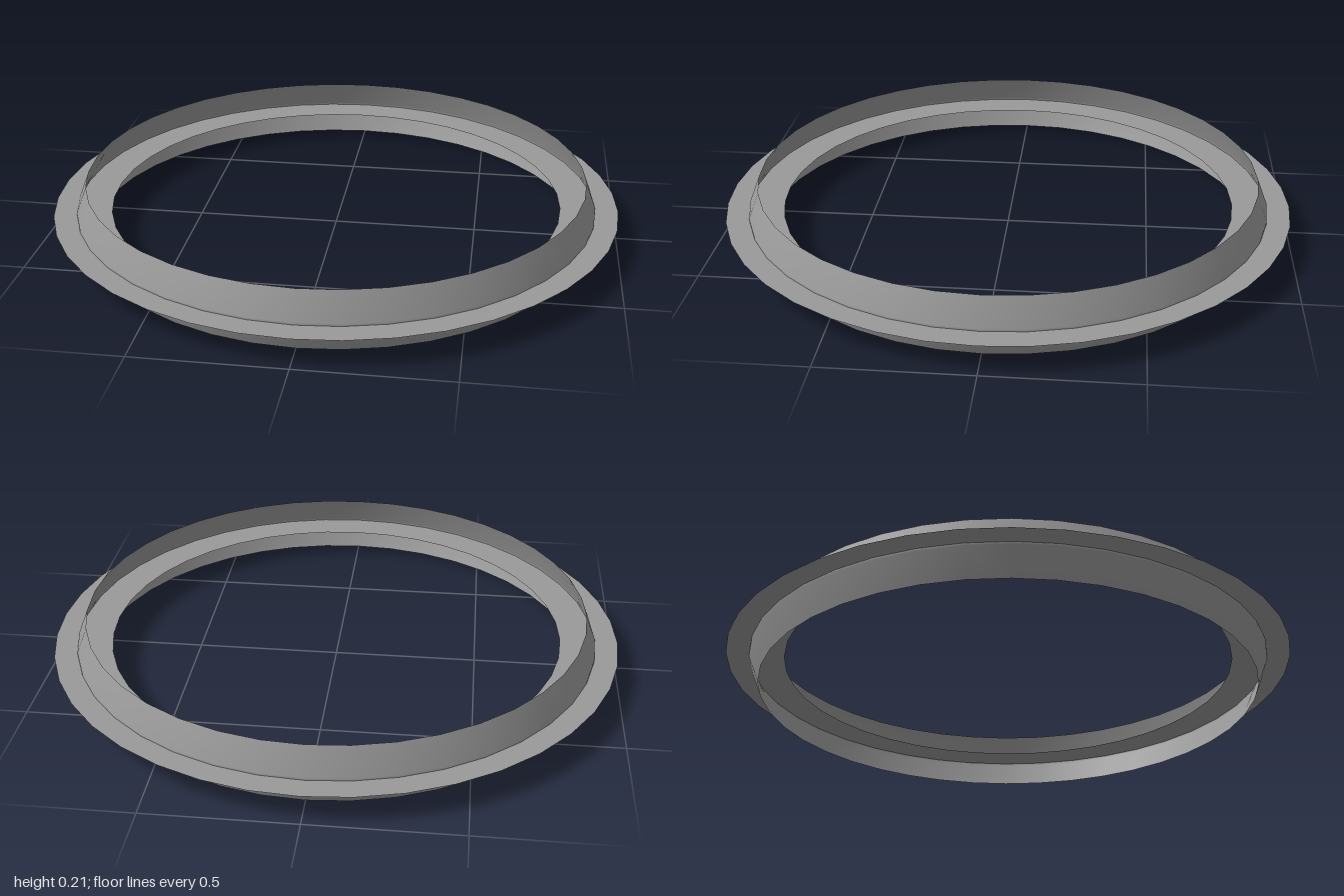
import * as THREE from 'three';

const SEGMENTS = 40;
const HEIGHT = 0.207;
const MID = HEIGHT / 2;
const RIM_RADIUS = 0.882;
const RIDGE_RADIUS = 0.92;
const RIDGE_HALF = 0.008;

export function createModel() {
  const group = new THREE.Group();
  group.name = 'ring';
  const material = new THREE.MeshStandardMaterial({ color: 0x9a9a9a, side: THREE.DoubleSide });

  const add = (name, geometry) => {
    const mesh = new THREE.Mesh(geometry, material);
    mesh.name = name;
    group.add(mesh);
    return mesh;
  };

  // Open band: two cones joined by a narrow blunt ridge at mid height
  const profile = [
    [RIM_RADIUS, 0],
    [RIDGE_RADIUS, MID - RIDGE_HALF],
    [RIDGE_RADIUS, MID + RIDGE_HALF],
    [RIM_RADIUS, HEIGHT],
  ].map(([r, y]) => new THREE.Vector2(r, y));
  add('band', new THREE.LatheGeometry(profile, SEGMENTS));

  // Paper-thin flat ring crossing the band at the ridge
  const flange = add('flatFlange', new THREE.RingGeometry(0.798, 1, SEGMENTS));
  flange.rotation.x = -Math.PI / 2;
  flange.position.y = MID;

  return group;
}
